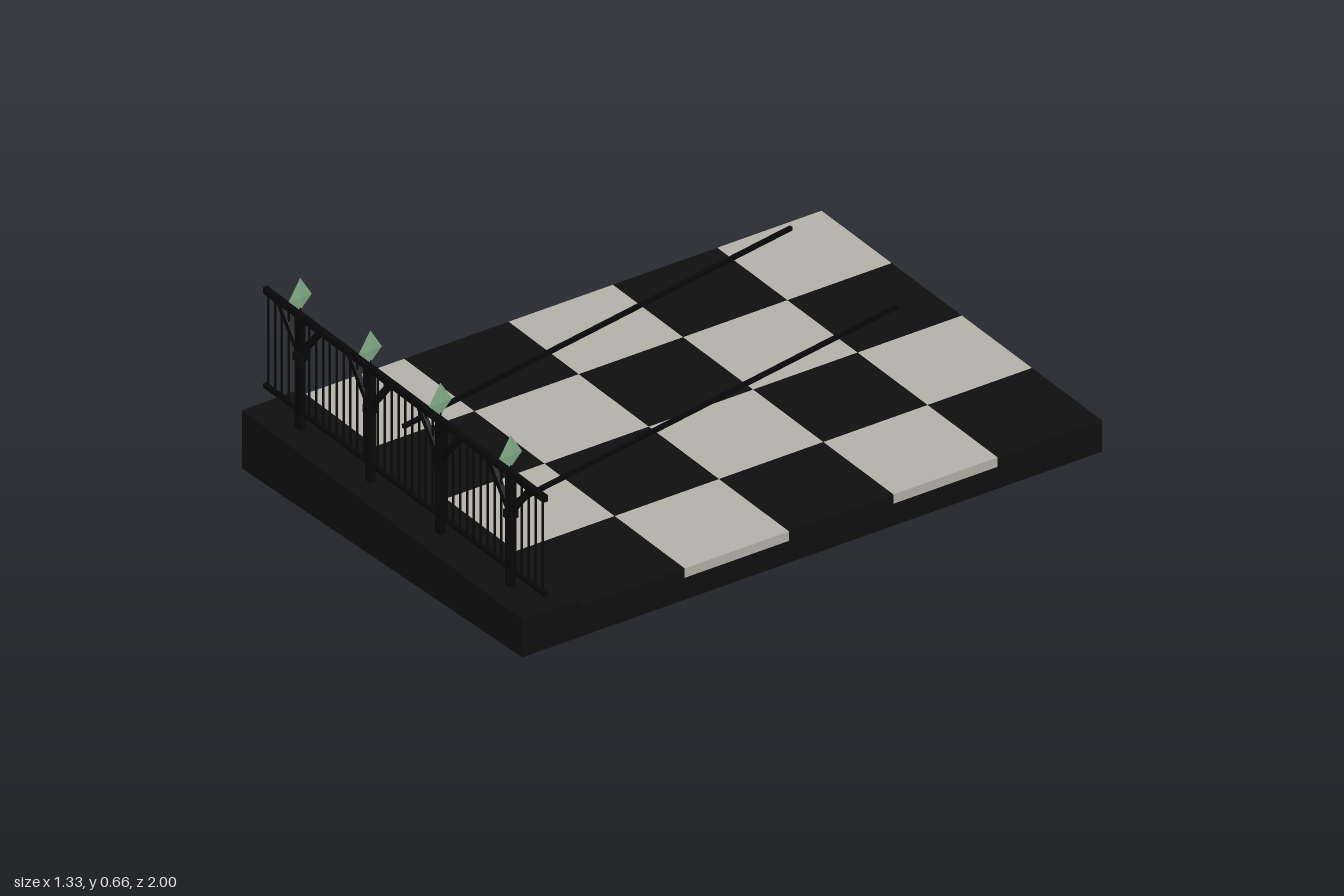
import * as THREE from 'three';

const mat = (name, color) => {
  const m = new THREE.MeshStandardMaterial({ color });
  m.name = name;
  return m;
};

export function createModel() {
  const root = new THREE.Group();
  root.name = 'terraceWithRailing';
  const darkStone = mat('dark stone', 0x0f0f0f);
  const paleStone = mat('pale stone', 0xb2b0a8);
  const iron = mat('black iron', 0x08080a);
  const leafGreen = mat('leaf green', 0x82aa88);

  const W = 2 / 3, FENCE_Z = 0.92, SLOPE = -0.05;
  const kerbTop = x => 0.1535 + SLOPE * x;
  const deckTop = x => kerbTop(x) - 0.02;
  const railY = x => kerbTop(x) + 0.36;
  const lowRailY = x => kerbTop(x) + 0.055;

  const add = (parent, name, geometry, material) => {
    const mesh = new THREE.Mesh(geometry, material);
    mesh.name = name;
    parent.add(mesh);
    return mesh;
  };
  const group = name => {
    const g = new THREE.Group();
    g.name = name;
    root.add(g);
    return g;
  };

  // Block between two height functions, extruded along z
  const slab = (parent, name, x0, x1, z0, z1, low, high, material) => {
    const s = new THREE.Shape([
      new THREE.Vector2(x0, low(x0)), new THREE.Vector2(x1, low(x1)),
      new THREE.Vector2(x1, high(x1)), new THREE.Vector2(x0, high(x0)),
    ]);
    const g = new THREE.ExtrudeGeometry(s, { depth: z1 - z0, bevelEnabled: false });
    g.translate(0, 0, z0);
    return add(parent, name, g, material);
  };
  // Straight square bar between two points
  const bar = (parent, name, a, b, w, h, material) => {
    const m = add(parent, name, new THREE.BoxGeometry(w, h, a.distanceTo(b)), material);
    m.position.copy(a).lerp(b, 0.5);
    m.lookAt(b);
    return m;
  };
  const V = (x, y, z) => new THREE.Vector3(x, y, z);

  // Sloping base and raised front kerb
  const ground = () => 0;
  const tileBottom = x => deckTop(x) - 0.03;
  slab(root, 'base', -W, W, -1, 0.8, ground, tileBottom, darkStone);
  slab(root, 'frontKerb', -W, W, 0.8, 1, ground, kerbTop, darkStone);

  // Chequered paving
  const paving = group('paving');
  for (let r = 0; r < 5; r++) {
    for (let c = 0; c < 4; c++) {
      const pale = (r + c) % 2 === 0;
      const x = -W + c / 3, z = -1 + r * 0.36;
      slab(paving, pale ? 'paleTile' : 'darkTile', x, x + 1 / 3, z, z + 0.36,
        tileBottom, deckTop, pale ? paleStone : darkStone);
    }
  }

  // Two slanting strips across the paving
  for (const x of [-0.5, 0]) {
    const a = x - 0.132, b = x + 0.132;
    bar(root, 'pavingStrip', V(a, deckTop(a) + 0.005, -0.87), V(b, deckTop(b) + 0.005, 0.66),
      0.012, 0.012, iron);
  }

  // Railing: rails follow the slope
  const railing = group('railing');
  const rail = (name, y, t, d) => slab(railing, name, -W, W, FENCE_Z - d / 2, FENCE_Z + d / 2,
    x => y(x) - t / 2, x => y(x) + t / 2, iron);
  rail('topRail', railY, 0.02, 0.016);
  rail('bottomRail', lowRailY, 0.013, 0.013);

  // Balusters
  for (let i = 0; i <= 40; i++) {
    const x = -0.652 + i * 0.0326;
    bar(railing, 'baluster', V(x, lowRailY(x), FENCE_Z), V(x, railY(x), FENCE_Z),
      0.005, 0.005, iron);
  }

  // Flat diamond leaf, widest below its middle
  const leafGeometry = new THREE.OctahedronGeometry(1);
  const p = leafGeometry.attributes.position;
  for (let i = 0; i < p.count; i++) {
    const y = p.getY(i);
    p.setXYZ(i, p.getX(i) * 0.004, y > 0 ? y * 0.064 : y * 0.04, p.getZ(i) * 0.04);
  }
  leafGeometry.computeVertexNormals();

  // Posts with collars, forked braces and leaf finials
  for (const x of [-0.5, -1 / 6, 1 / 6, 0.5]) {
    const forkY = kerbTop(x) + 0.235;
    const post = add(railing, 'post', new THREE.BoxGeometry(0.025, 0.37, 0.02), iron);
    post.position.set(x, kerbTop(x) + 0.175, FENCE_Z);
    const collar = add(railing, 'collar', new THREE.BoxGeometry(0.03, 0.024, 0.032), iron);
    collar.position.set(x, forkY - 0.004, FENCE_Z);
    for (const side of [-1, 1]) {
      const end = x + side * 0.1;
      bar(railing, 'brace', V(x, forkY, FENCE_Z), V(end, railY(end), FENCE_Z),
        0.014, 0.018, iron);
    }
    const stem = add(railing, 'leafStem', new THREE.BoxGeometry(0.004, 0.02, 0.004), iron);
    stem.position.set(x, railY(x) + 0.015, FENCE_Z);
    const leaf = add(railing, 'leafFinial', leafGeometry, leafGreen);
    leaf.position.set(x, railY(x) + 0.057, FENCE_Z);
  }

  return root;
}
